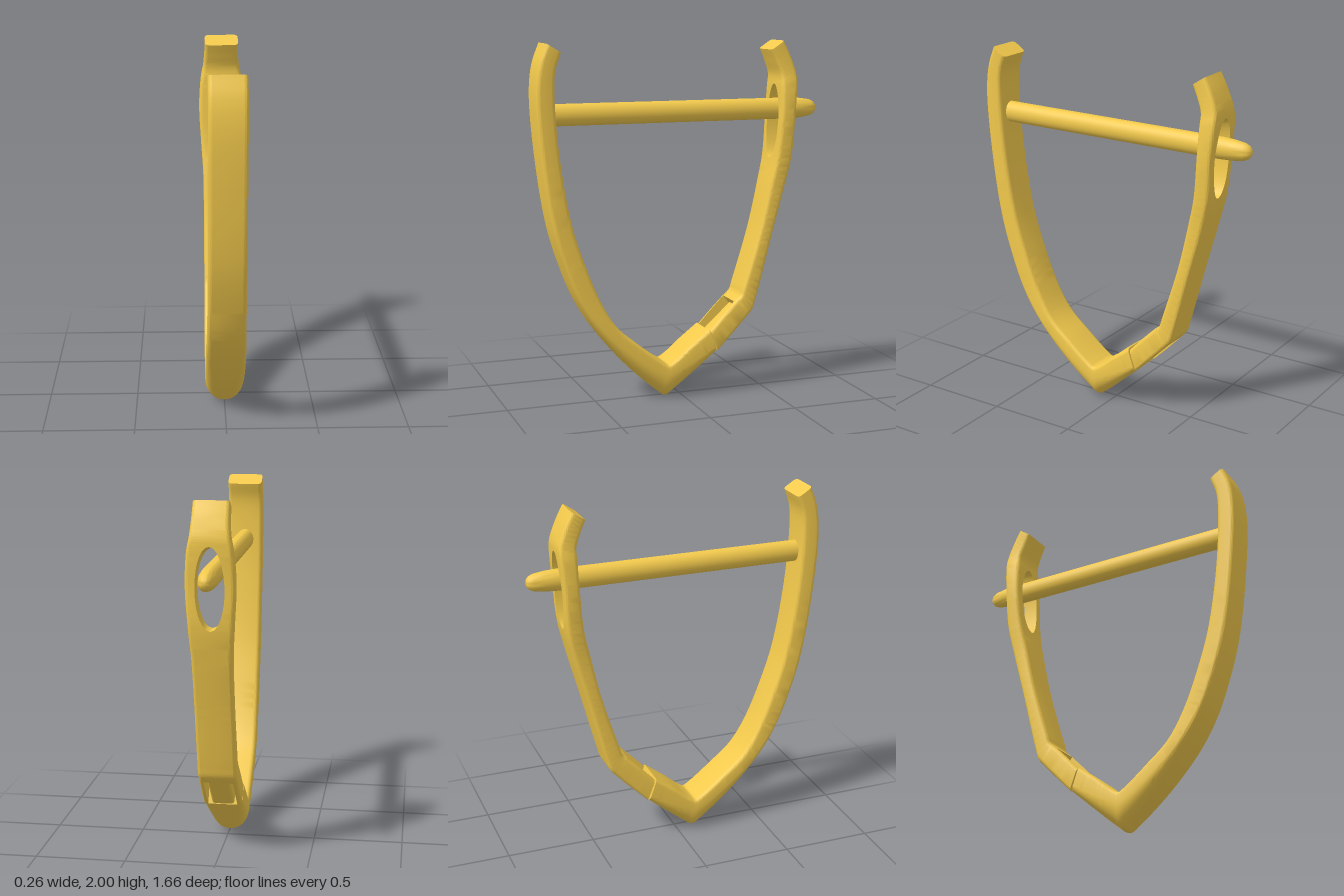
import * as THREE from 'three';
import { toCreasedNormals } from 'three/addons/utils/BufferGeometryUtils.js';

const gold = new THREE.MeshStandardMaterial({ color: 0xf2c94c });

// Half of a cross-section as [x, t]; t runs from the inner face (0) to the outer face (1)
function halfSection(w, thick, dome, gap) {
  const r = Math.min(0.022, thick * 0.35);
  const rx = THREE.MathUtils.lerp(r, w, dome);
  const rt = THREE.MathUtils.lerp(r / thick, 0.7, dome);
  const pts = [[gap, 0]];
  for (let i = 0; i <= 4; i++) {
    const a = (i / 4) * Math.PI / 2;
    pts.push([w - r + r * Math.sin(a), (r / thick) * (1 - Math.cos(a))]);
  }
  for (let i = 0; i <= 9; i++) {
    const a = (i / 9) * Math.PI / 2;
    pts.push([w - rx + rx * Math.cos(a), 1 - rt + rt * Math.sin(a)]);
  }
  pts.push([gap, 1]);
  return pts.map(([x, t]) => [Math.max(x, gap), t]);
}

// Lofts a strip through rows of [outer z, outer y, inner z, inner y, half width, dome].
// gapAt(y) opens a space in the middle of the strip.
function strip(name, rows, steps, gapAt = () => 0) {
  const outer = new THREE.CatmullRomCurve3(rows.map(r => new THREE.Vector3(r[4], r[1], r[0])));
  const inner = new THREE.CatmullRomCurve3(rows.map(r => new THREE.Vector3(r[5], r[3], r[2])));
  const group = new THREE.Group();
  group.name = name;
  for (const side of [1, -1]) {
    const pos = [], idx = [];
    let n = 0;
    const tri = (a, b, c) => (side > 0 ? idx.push(a, b, c) : idx.push(a, c, b));
    for (let s = 0; s <= steps; s++) {
      const o = outer.getPoint(s / steps), i = inner.getPoint(s / steps);
      const thick = Math.hypot(o.y - i.y, o.z - i.z);
      const dome = THREE.MathUtils.clamp(i.x, 0, 1);
      const ring = halfSection(o.x, thick, dome, gapAt((o.y + i.y) / 2));
      n = ring.length;
      for (const [x, t] of ring)
        pos.push(side * x, i.y + (o.y - i.y) * t, i.z + (o.z - i.z) * t);
    }
    for (let s = 0; s < steps; s++)
      for (let j = 0; j < n; j++) {
        const a = s * n + j, b = s * n + (j + 1) % n;
        tri(a, b, b + n);
        tri(a, b + n, a + n);
      }
    const last = steps * n;
    for (let j = 1; j < n - 1; j++) {
      tri(0, j + 1, j);
      tri(last, last + j, last + j + 1);
    }
    const geo = new THREE.BufferGeometry();
    geo.setAttribute('position', new THREE.Float32BufferAttribute(pos, 3));
    geo.setIndex(idx);
    const mesh = new THREE.Mesh(toCreasedNormals(geo, 0.6), gold);
    mesh.name = name + (side > 0 ? 'Left' : 'Right');
    group.add(mesh);
  }
  return group;
}

export function createModel() {
  const model = new THREE.Group();
  model.name = 'hoopEarring';

  // Front arm, curving down to the pointed base and up to the hinge joint
  model.add(strip('frontArm', [
    [0.77, 2.0, 0.69, 1.95, 0.1, 0],
    [0.81, 1.89, 0.72, 1.86, 0.1, 0],
    [0.828, 1.74, 0.728, 1.74, 0.1, 0],
    [0.806, 1.4, 0.705, 1.4, 0.1, 0],
    [0.745, 1.0, 0.64, 1.02, 0.1, 0],
    [0.665, 0.74, 0.56, 0.77, 0.102, 0],
    [0.595, 0.575, 0.49, 0.6, 0.104, 0.02],
    [0.5, 0.42, 0.41, 0.46, 0.108, 0.15],
    [0.32, 0.2, 0.26, 0.32, 0.11, 0.6],
    [0.135, 0.03, 0.125, 0.215, 0.11, 0.9],
    [0.095, 0.003, 0.095, 0.2, 0.11, 0.95],
    [0.055, 0.03, 0.065, 0.215, 0.11, 0.9],
    [-0.07, 0.14, -0.04, 0.3, 0.11, 0.5],
    [-0.19, 0.25, -0.145, 0.38, 0.11, 0.12],
  ], 130));

  // Hinge: two fork rails with a recessed tongue between them
  model.add(strip('hingeFork', [
    [-0.2, 0.255, -0.155, 0.375, 0.11, 0],
    [-0.29, 0.345, -0.235, 0.46, 0.108, 0],
    [-0.395, 0.455, -0.325, 0.55, 0.106, 0],
  ], 8, () => 0.082));
  model.add(strip('hingeTongue', [
    [-0.17, 0.235, -0.14, 0.325, 0.064, 0],
    [-0.285, 0.35, -0.25, 0.425, 0.064, 0],
    [-0.4, 0.465, -0.355, 0.52, 0.064, 0],
  ], 8));

  // Rear arm with an oval eye for the post
  const eye = y => {
    const u = (y - 1.55) / 0.215;
    return Math.abs(u) < 1 ? 0.077 * Math.sqrt(1 - u * u) : 0;
  };
  model.add(strip('rearArm', [
    [-0.375, 0.435, -0.305, 0.53, 0.106, 0],
    [-0.415, 0.48, -0.342, 0.565, 0.106, 0],
    [-0.435, 0.54, -0.357, 0.61, 0.106, 0],
    [-0.53, 0.9, -0.455, 0.93, 0.106, 0],
    [-0.6, 1.16, -0.515, 1.19, 0.108, 0],
    [-0.642, 1.35, -0.55, 1.35, 0.119, 0],
    [-0.658, 1.58, -0.57, 1.58, 0.13, 0],
    [-0.672, 1.76, -0.575, 1.74, 0.118, 0],
    [-0.67, 1.82, -0.575, 1.81, 0.106, 0],
    [-0.635, 1.92, -0.55, 1.88, 0.098, 0],
    [-0.595, 2.0, -0.52, 1.95, 0.096, 0],
  ], 240, eye));

  // Post running from the front arm through the eye, with a tapered tip
  const profile = [[0, -0.76], [0.06, -0.76], [0.06, 0.66], [0.056, 0.73], [0.047, 0.79],
    [0.036, 0.815], [0.02, 0.828], [0, 0.832]].map(p => new THREE.Vector2(...p));
  const postGeo = new THREE.LatheGeometry(profile, 32);
  postGeo.scale(0.83, 1, 1);
  postGeo.rotateX(-Math.PI / 2);
  const post = new THREE.Mesh(toCreasedNormals(postGeo, 0.6), gold);
  post.name = 'post';
  post.position.y = 1.615;
  model.add(post);

  return model;
}
